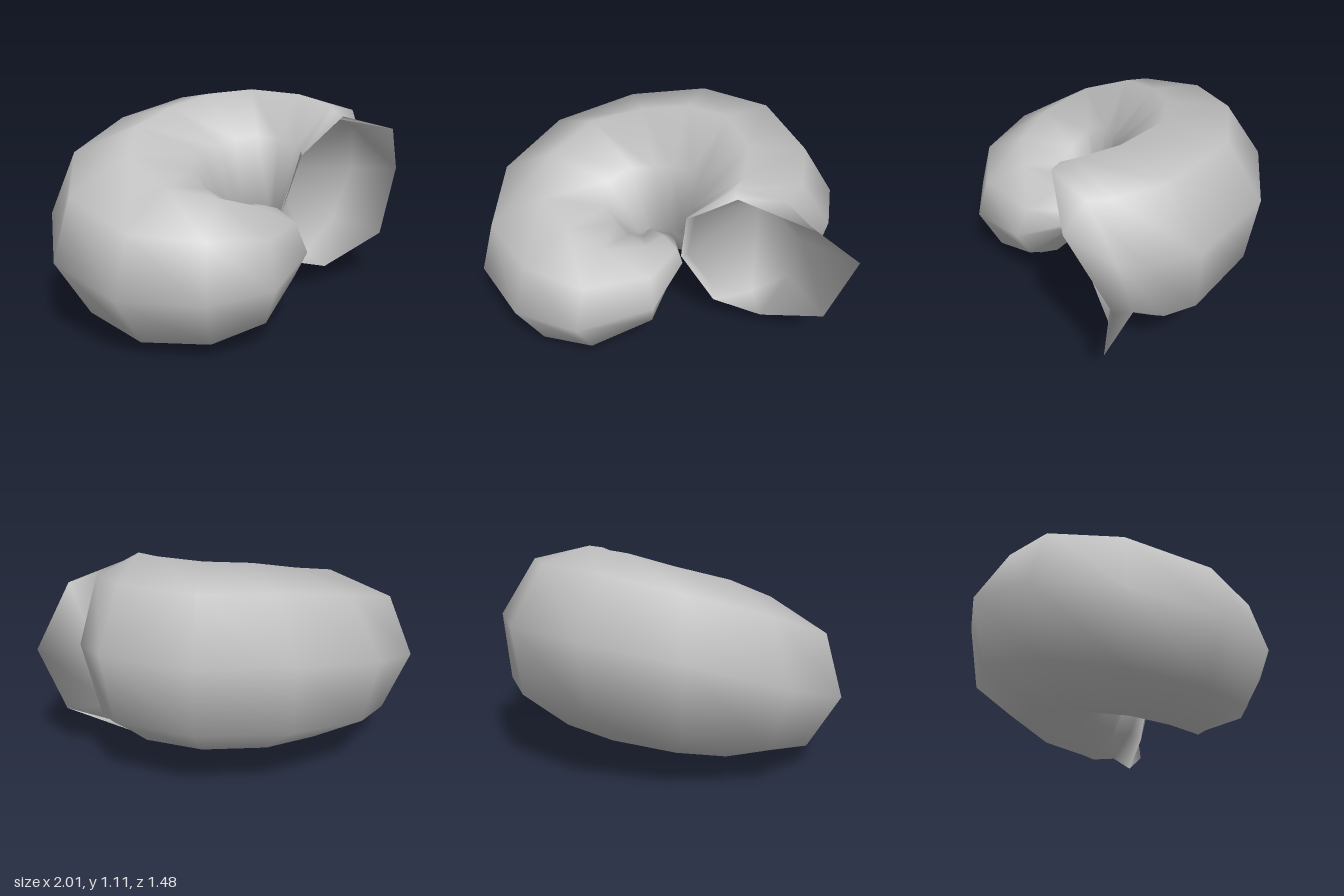
import * as THREE from 'three';

// Cross-sections of the curl: outer x,z, inner x,z, bottom y, top y, twist in degrees, forward lean
const SECTIONS = [
  [0.74, 0.22, 0.13, 0.3, 0.14, 1.04, 10, 0.3],
  [0.84, 0.1, 0.14, 0.25, 0.15, 1.07, 12, 0.33],
  [0.84, -0.13, 0.13, 0.2, 0.17, 1.1, 12, 0.1],
  [0.57, -0.54, 0.1, 0.13, 0.18, 1.115, 13, 0],
  [0.13, -0.74, 0.02, 0.1, 0.17, 1.1, 13, 0],
  [-0.37, -0.71, -0.05, 0.09, 0.13, 1.04, 9, 0],
  [-0.8, -0.46, -0.1, 0.1, 0.07, 0.97, 0, 0],
  [-1.0, -0.07, -0.14, 0.12, 0.03, 0.87, -7, 0],
  [-0.94, 0.37, -0.14, 0.15, 0.0, 0.77, -8, 0],
  [-0.66, 0.66, -0.13, 0.17, 0.01, 0.72, -6, 0],
  [-0.32, 0.735, -0.12, 0.17, 0.07, 0.66, -6, 0],
  [0.03, 0.58, -0.12, 0.13, 0.2, 0.6, 0, 0],
  [0.13, 0.32, -0.1, 0.11, 0.42, 0.57, 0, 0],
];

// Flared lip of the wide end, from the outer edge over the top and round
const LIP = [
  [1.0, 0.64, 0.34], [0.76, 0.92, 0.49], [0.4, 1.02, 0.45], [0.16, 0.84, 0.4],
  [0.12, 0.52, 0.3], [0.29, 0.19, 0.24], [0.55, 0.1, 0.22], [0.87, 0.27, 0.35],
];
const BOWL_CENTRE = [0.48, 0.62, -0.12];
const TIP = [0.05, 0.5, 0.12];
const SIDES = 8;

function sectionRing([ox, oz, ix, iz, bottom, top, twist, lean], size = 1.02) {
  const ring = [];
  for (let j = 0; j < SIDES; j++) {
    const angle = (j / SIDES) * Math.PI * 2 + THREE.MathUtils.degToRad(twist);
    const t = (1 + size * Math.cos(angle)) / 2;
    const rise = ((top - bottom) / 2) * size * Math.sin(angle);
    const y = Math.max((bottom + top) / 2 + rise, 0);
    ring.push([ix + (ox - ix) * t, y, iz + (oz - iz) * t + lean * rise]);
  }
  return ring;
}

export function createModel() {
  const group = new THREE.Group();
  group.name = 'curledShell';

  const grey = new THREE.MeshStandardMaterial({ color: 0xc0c0c0 });
  grey.name = 'plain grey';

  // Loft from the throat of the bowl, over the lip and round to the tip
  const throat = sectionRing(SECTIONS[0], 0.94);
  const rings = [throat, LIP, ...SECTIONS.map((section) => sectionRing(section))];
  const positions = [...rings.flat(), BOWL_CENTRE, TIP].flat();
  const bowl = rings.length * SIDES;
  const last = bowl - SIDES;
  const index = [];
  for (let j = 0; j < SIDES; j++) {
    const k = (j + 1) % SIDES;
    index.push(bowl, j, k);
    for (let i = 0; i < last; i += SIDES) {
      index.push(i + j, i + j + SIDES, i + k, i + k, i + j + SIDES, i + k + SIDES);
    }
    index.push(last + j, bowl + 1, last + k);
  }
  const geometry = new THREE.BufferGeometry();
  geometry.setAttribute('position', new THREE.Float32BufferAttribute(positions, 3));
  geometry.setIndex(index);
  geometry.computeVertexNormals();

  const body = new THREE.Mesh(geometry, grey);
  body.name = 'curledBody';
  group.add(body);
  return group;
}
